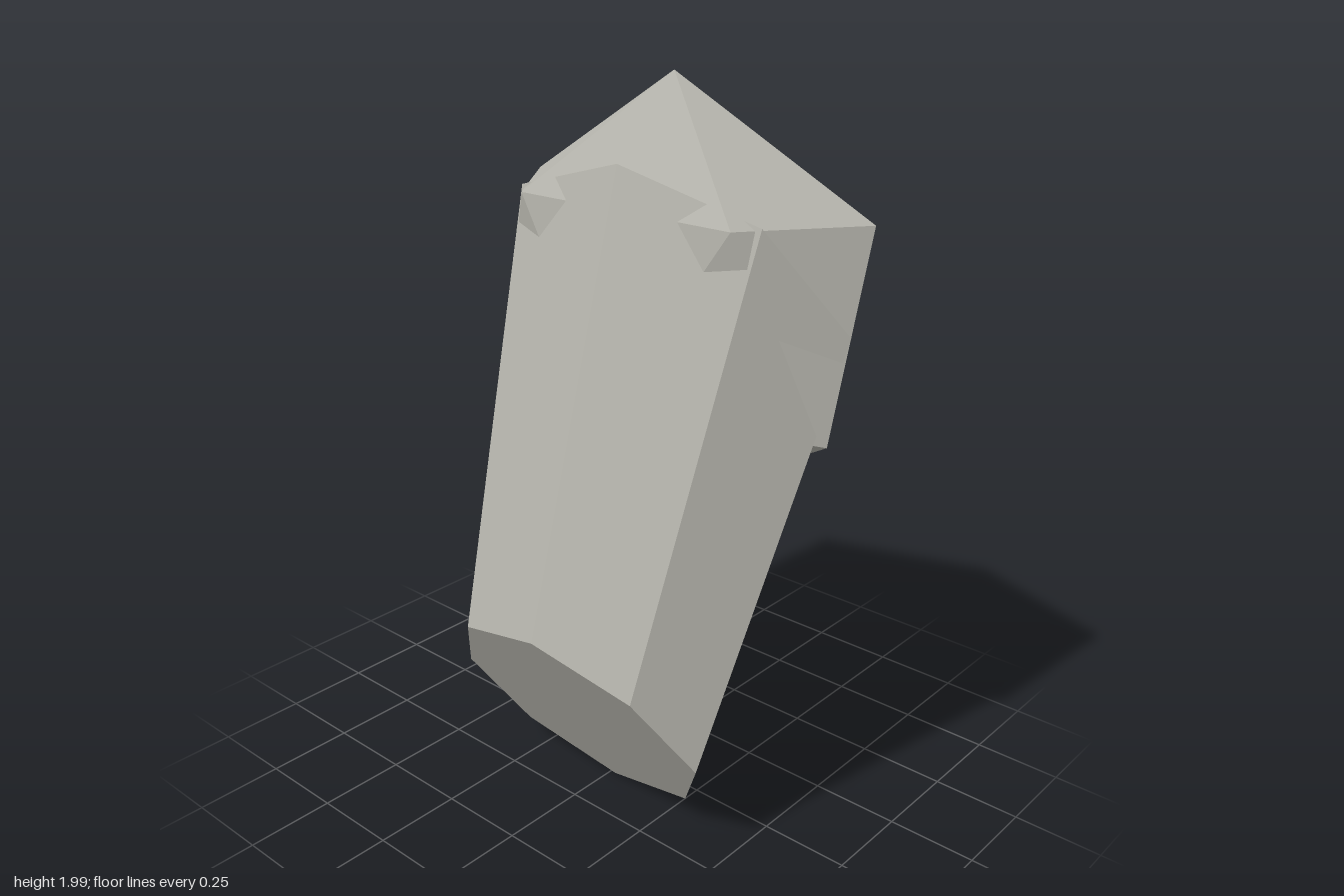
import * as THREE from 'three';
import { ConvexGeometry } from 'three/addons/geometries/ConvexGeometry.js';

// Tilted, tapering eight-sided shaft: a cylinder remapped between two parallel slanted ends
function shaftGeometry() {
  const bottom = { x: -0.258, y: 0.295, z: 0.017, scale: 0.75 };
  const top = { x: 0.158, y: 1.405, z: 0, scale: 1 };
  const geo = new THREE.CylinderGeometry(1, 1, 1, 8, 1).toNonIndexed();
  const pos = geo.attributes.position;
  for (let i = 0; i < pos.count; i++) {
    const u = pos.getX(i), w = pos.getZ(i);
    const end = pos.getY(i) > 0 ? top : bottom;
    pos.setXYZ(i,
      end.x + u * 0.217 * end.scale,
      end.y - u * 0.386 * end.scale,
      end.z + w * 0.577 * end.scale);
  }
  geo.computeVertexNormals();
  return geo;
}

// Stretched icosahedron standing on a point: two poles and two five-point rings
function headGeometry() {
  const points = [new THREE.Vector3(0, 1, 0), new THREE.Vector3(0, -1, 0)];
  const h = 1 / Math.sqrt(5), r = 2 * h;
  for (let i = 0; i < 5; i++) {
    const a = i * Math.PI * 0.4, b = a + Math.PI * 0.2;
    points.push(new THREE.Vector3(r * Math.cos(a), h, r * Math.sin(a)));
    points.push(new THREE.Vector3(r * Math.cos(b), -h, r * Math.sin(b)));
  }
  const geo = new ConvexGeometry(points);
  geo.scale(0.29, 0.595, 0.676);
  geo.translate(0.16, 1.405, 0);
  geo.computeVertexNormals();
  return geo;
}

export function createModel() {
  const group = new THREE.Group();
  const stone = new THREE.MeshStandardMaterial({ color: 0xb4b3ab, flatShading: true });
  stone.name = 'warm grey stone';

  const shaft = new THREE.Mesh(shaftGeometry(), stone);
  shaft.name = 'shaft';
  const head = new THREE.Mesh(headGeometry(), stone);
  head.name = 'head';

  group.add(shaft, head);
  return group;
}
